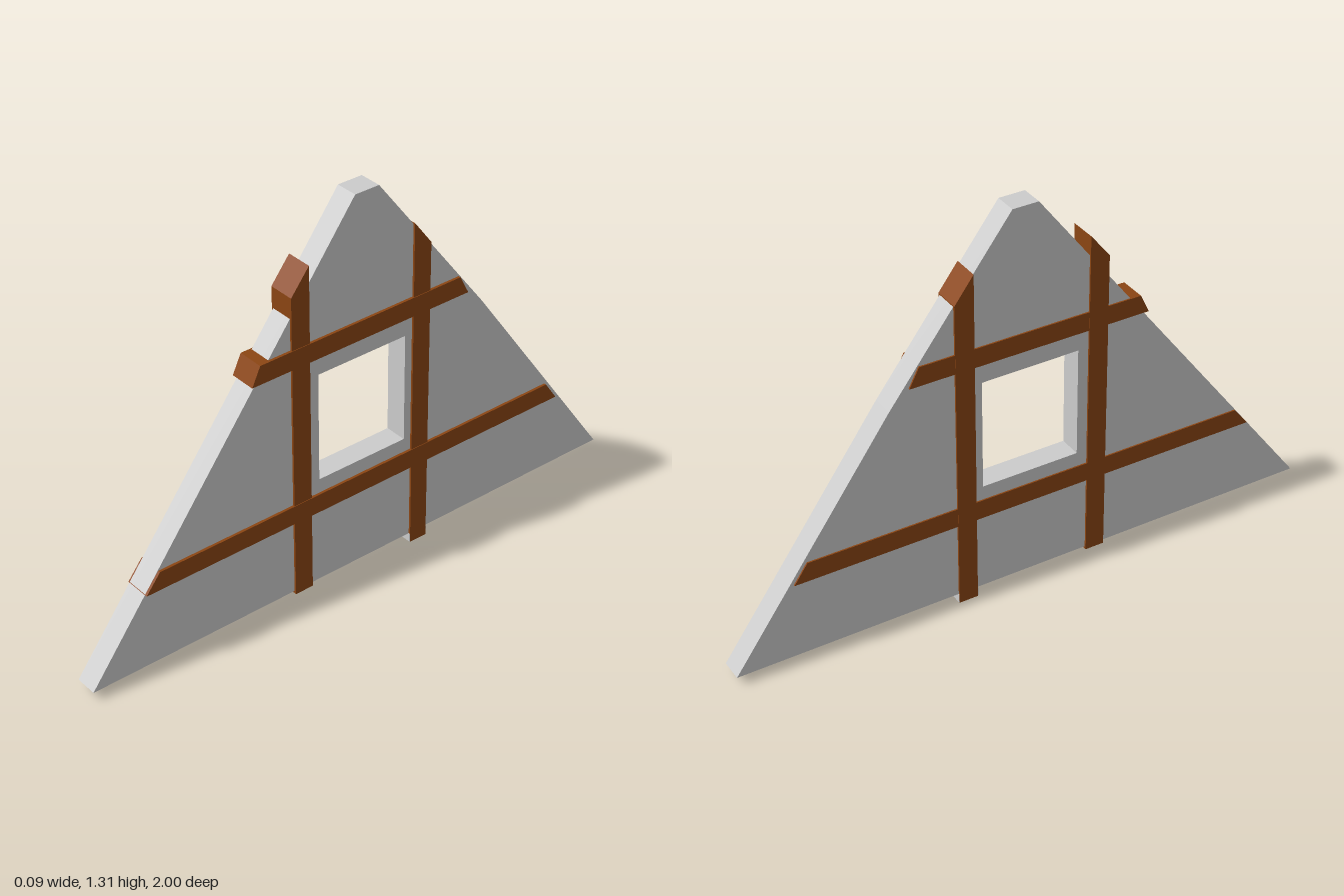
import * as THREE from 'three';

const plaster = new THREE.MeshStandardMaterial({ color: 0xcccccc, flatShading: true });
const timber = new THREE.MeshStandardMaterial({ color: 0x8b4513, flatShading: true });

// Slab from a (z, y) outline, spanning xMin..xMax
function slab(name, outline, xMin, xMax, material, hole) {
  const toPoints = (list) => list.map(([z, y]) => new THREE.Vector2(z, y));
  const shape = new THREE.Shape(toPoints(outline));
  if (hole) shape.holes.push(new THREE.Path(toPoints(hole)));
  const geometry = new THREE.ExtrudeGeometry(shape, { depth: xMax - xMin, bevelEnabled: false });
  geometry.rotateY(-Math.PI / 2);
  geometry.translate(xMax, 0, 0);
  const mesh = new THREE.Mesh(geometry, material);
  mesh.name = name;
  return mesh;
}

export function createModel() {
  const group = new THREE.Group();
  group.name = 'timberedGable';

  // Gable wall with a square window opening
  group.add(slab('gableWall',
    [[-1, 0.03], [1, 0.03], [0.027, 1.312], [-0.06, 1.312], [-0.47, 0.775]],
    -0.041, 0.035, plaster,
    [[-0.165, 0.4], [-0.165, 0.77], [0.165, 0.77], [0.165, 0.4]]));

  // Upright beams, tops cut to the roof pitch
  group.add(slab('frontUpright',
    [[0.2, 0.022], [0.265, 0.022], [0.265, 1.068], [0.2, 1.15]], -0.047, 0.042, timber));
  group.add(slab('backUpright',
    [[-0.255, 0], [-0.191, 0], [-0.191, 1.145], [-0.255, 1.06]], -0.047, 0.042, timber));

  // Horizontal beams, ends cut to the roof pitch
  group.add(slab('lowerRail',
    [[-0.8, 0.29], [0.805, 0.287], [0.755, 0.35], [-0.755, 0.355]], -0.046, 0.044, timber));
  group.add(slab('upperRail',
    [[-0.405, 0.833], [0.41, 0.83], [0.38, 0.893], [-0.372, 0.897]], -0.046, 0.044, timber));

  // Pale sides at the foot of the back upright
  group.add(slab('uprightFoot',
    [[-0.257, 0.001], [-0.189, 0.001], [-0.189, 0.03], [-0.257, 0.03]], -0.046, 0.041, plaster));
  return group;
}
